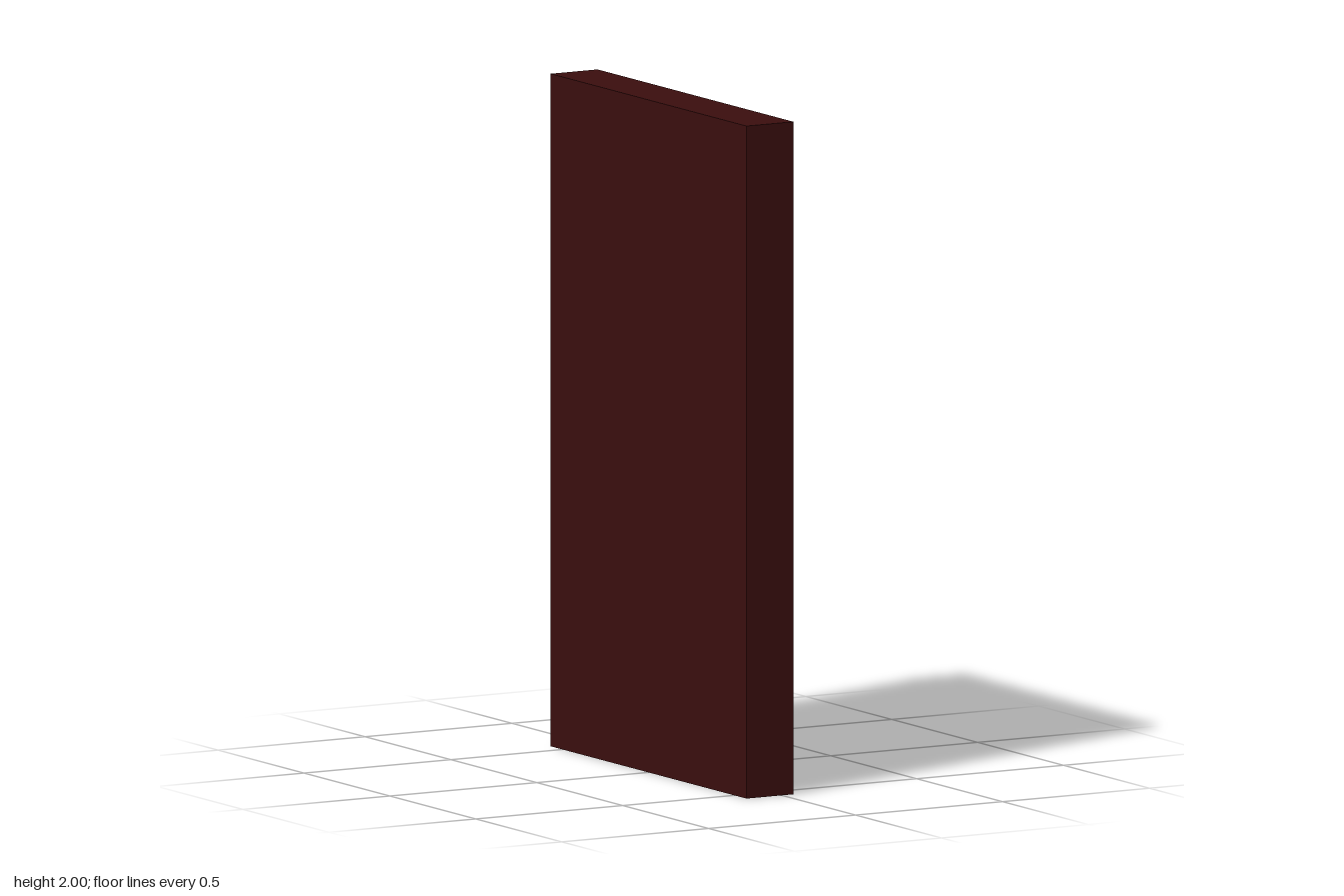
import * as THREE from 'three';

// Lofts rectangular rings [halfWidth, halfHeight, depth] and caps both ends, with flat faces.
function steppedPanel(rings) {
  const pos = [];
  const corners = ([w, h, d]) => [[-w, -h, d], [w, -h, d], [w, h, d], [-w, h, d]];
  const quad = (a, b, c, d) => [a, b, c, a, c, d].forEach((p) => pos.push(...p));
  const loops = rings.map(corners);
  for (let k = 0; k < loops.length - 1; k++) {
    const a = loops[k], b = loops[k + 1];
    for (let i = 0; i < 4; i++) {
      const j = (i + 1) % 4;
      quad(a[i], a[j], b[j], b[i]);
    }
  }
  quad(...loops[0].slice().reverse());
  quad(...loops[loops.length - 1]);
  const g = new THREE.BufferGeometry();
  g.setAttribute('position', new THREE.Float32BufferAttribute(pos, 3));
  g.computeVertexNormals();
  return g;
}

export function createModel() {
  const wood = new THREE.MeshStandardMaterial({ color: 0x3b0e0e });
  wood.name = 'dark red wood';
  const brass = new THREE.MeshStandardMaterial({ color: 0xd9960f });
  brass.name = 'brass';

  const door = new THREE.Group();
  door.name = 'door';
  const add = (name, geometry, material, x, y, z = 0) => {
    const mesh = new THREE.Mesh(geometry, material);
    mesh.name = name;
    mesh.position.set(x, y, z);
    door.add(mesh);
    return mesh;
  };

  // Slab with a stepped border leading down to a sunken field
  add('slab', steppedPanel([
    [0.57, 1, -0.12], [0.57, 1, 0.04], [0.55, 0.957, 0.04], [0.545, 0.95, 0.034],
    [0.53, 0.92, 0.034], [0.525, 0.91, 0.027], [0.51, 0.885, 0.027], [0.505, 0.875, 0.018],
  ]), wood, 0, 1);

  // Central stile between the two tall panels
  add('centreStile', new THREE.BoxGeometry(0.11, 1.75, 0.02), wood, 0, 1, 0.013);

  for (const side of [-1, 1]) {
    // Tall raised panel with a bevelled moulding
    add('tallPanel', steppedPanel([
      [0.185, 0.77, 0.01], [0.185, 0.77, 0.022], [0.18, 0.76, 0.03],
      [0.172, 0.745, 0.032], [0.165, 0.73, 0.044],
    ]), wood, side * 0.255, 1);

    // Upper and lower inset panels, each with a narrow rim
    for (const y of [0.6175, 1.3825]) {
      add('insetPanel', steppedPanel([
        [0.13, 0.275, 0.04], [0.13, 0.275, 0.046], [0.122, 0.267, 0.06],
        [0.114, 0.259, 0.06], [0.108, 0.253, 0.054],
      ]), wood, side * 0.25, y);
    }
  }

  // Middle rail with a low half-round boss
  add('middleRail', steppedPanel([
    [0.375, 0.09, 0.015], [0.375, 0.09, 0.042], [0.365, 0.085, 0.0455],
  ]), wood, 0, 1);
  const boss = new THREE.CylinderGeometry(0.068, 0.07, 0.008, 32, 1, false, Math.PI / 2, Math.PI);
  boss.rotateX(Math.PI / 2);
  add('boss', boss, wood, 0, 0.96, 0.0435);

  // Knob on a short neck
  const neck = new THREE.CylinderGeometry(0.02, 0.025, 0.04, 24);
  neck.rotateX(Math.PI / 2);
  add('knobNeck', neck, wood, 0.475, 0.977, 0.034);
  add('knob', new THREE.SphereGeometry(0.038, 32, 20), brass, 0.475, 0.977, 0.079);

  // The panelled face looks towards +x
  door.rotation.y = Math.PI / 2;
  const model = new THREE.Group();
  model.name = 'panelledDoor';
  model.add(door);
  return model;
}
